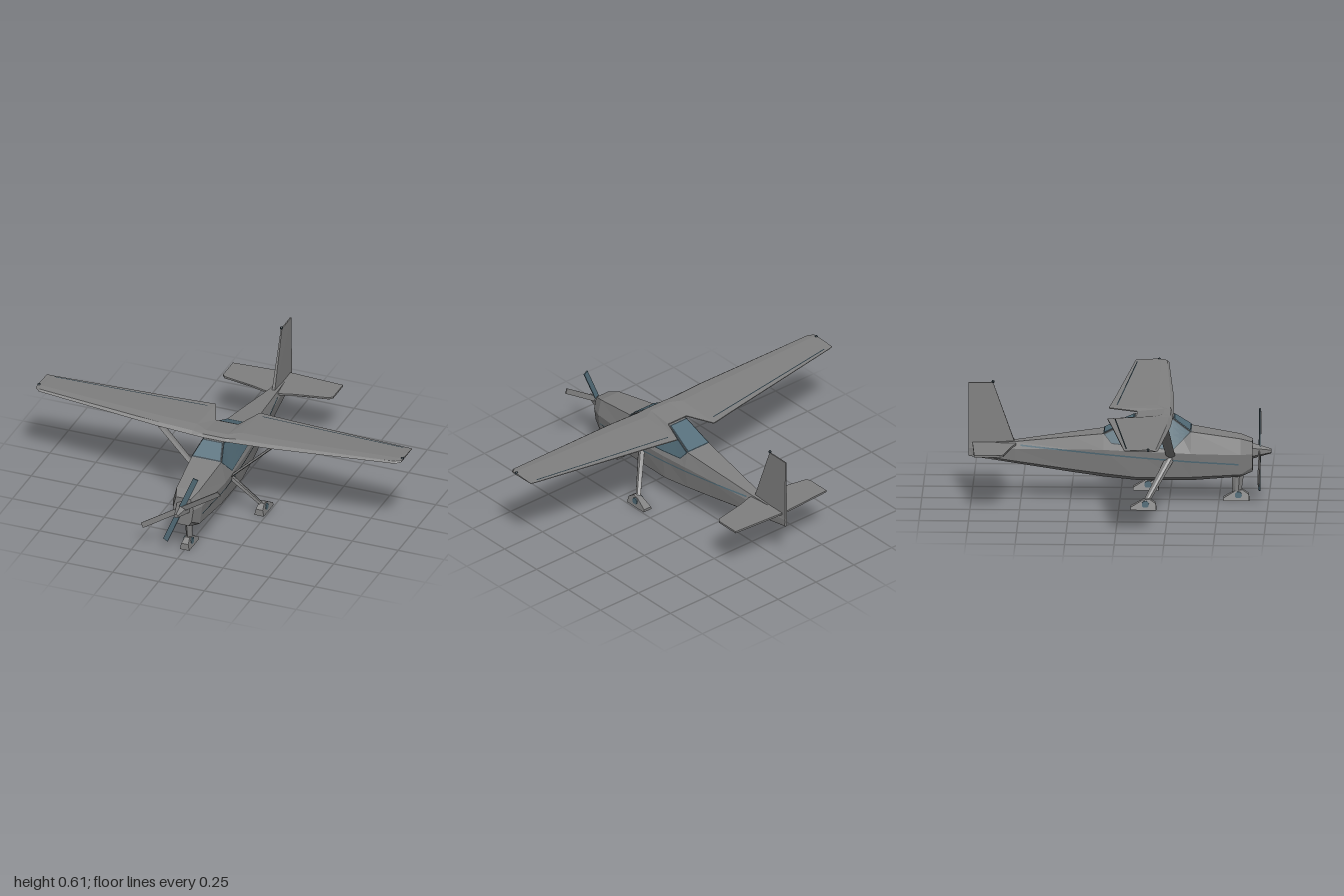
import * as THREE from 'three';

const mat = (name, color) => new THREE.MeshStandardMaterial({ name, color, flatShading: true, side: THREE.DoubleSide });
const paint = mat('grey paint', 0x808080);
const glass = mat('blue grey glass', 0x546e7a);
const trim = mat('dark trim', 0x2b3a42);

// Joins equal-length rings of [x, y, z] points; caps the ends and faces outward.
function loft(rings, closed = true) {
  const n = rings[0].length, tris = [];
  for (let i = 0; i < rings.length - 1; i++) {
    for (let j = 0; j < (closed ? n : n - 1); j++) {
      const k = (j + 1) % n, a = rings[i], b = rings[i + 1];
      tris.push([a[j], b[j], b[k]], [a[j], b[k], a[k]]);
    }
  }
  if (closed) {
    const a = rings[0], b = rings[rings.length - 1];
    for (let j = 1; j < n - 1; j++) tris.push([a[0], a[j], a[j + 1]], [b[0], b[j + 1], b[j]]);
    const v = p => new THREE.Vector3(...p);
    const c = v(a[0]);
    const volume = tris.reduce((s, t) => {
      const [p, q, r] = t.map(u => v(u).sub(c));
      return s + p.dot(q.cross(r));
    }, 0);
    if (volume < 0) tris.forEach(t => t.reverse());
  }
  const g = new THREE.BufferGeometry();
  g.setAttribute('position', new THREE.Float32BufferAttribute(tris.flat(2), 3));
  g.computeVertexNormals();
  return g;
}

// Linear lookup in rows sorted by their first column.
function sample(rows, t) {
  let i = 0;
  while (i < rows.length - 2 && (rows[i + 1][0] - t) * (rows[0][0] - t) > 0) i++;
  const a = rows[i], b = rows[i + 1], f = (t - a[0]) / (b[0] - a[0]);
  return a.map((v, k) => v + (b[k] - v) * f);
}

// Fuselage stations: z, then height and half width of roof, waist, chine and belly.
const hull = [
  [0.67, 0.31, 0.04, 0.25, 0.055, 0.18, 0.045, 0.155, 0.03],
  [0.61, 0.33, 0.06, 0.25, 0.08, 0.145, 0.065, 0.13, 0.04],
  [0.36, 0.37, 0.08, 0.26, 0.105, 0.135, 0.085, 0.112, 0.05],
  [0.27, 0.432, 0.055, 0.265, 0.105, 0.133, 0.085, 0.112, 0.05],
  [0.08, 0.432, 0.055, 0.27, 0.1, 0.133, 0.085, 0.112, 0.05],
  [-0.08, 0.355, 0.07, 0.275, 0.09, 0.148, 0.072, 0.127, 0.045],
  [-0.24, 0.336, 0.055, 0.272, 0.07, 0.165, 0.055, 0.146, 0.03],
  [-0.53, 0.3, 0.025, 0.265, 0.035, 0.2, 0.028, 0.187, 0.015],
  [-0.765, 0.285, 0.006, 0.26, 0.008, 0.23, 0.006, 0.22, 0.004],
];
function hullX(z, y) {
  const h = sample(hull, z);
  return sample([[h[1], h[2]], [h[3], h[4]], [h[5], h[6]], [h[7], h[8]]], y)[1];
}

// Wing stations: x, leading z, trailing z, underside y, thickness.
const wing = [
  [0, 0.268, 0.085, 0.43, 0.026],
  [0.06, 0.268, 0.085, 0.43, 0.026],
  [0.12, 0.268, -0.06, 0.433, 0.026],
  [0.3, 0.265, -0.035, 0.442, 0.024],
  [0.97, 0.22, 0.048, 0.477, 0.016],
  [0.995, 0.2, 0.052, 0.482, 0.01],
];
const foil = [[0, 0.25], [0.06, 0.8], [0.25, 1], [1, 0.45], [1, 0.25], [0.08, 0]];
const wingRing = ([x, le, te, y, t], s) => foil.map(([c, h]) => [s * x, y + h * t, le + (te - le) * c]);
function wingTop(x, z) {
  const [, le, te, y, t] = sample(wing, x);
  const c = (z - le) / (te - le);
  return y + t * (1 - 0.55 * (c - 0.25) / 0.75);
}

export function createModel() {
  const model = new THREE.Group();
  model.name = 'light aircraft';
  const add = (name, geometry, material = paint) => {
    const m = new THREE.Mesh(geometry, material);
    m.name = name;
    model.add(m);
    return m;
  };
  const light = (name, x, y, z) => add(name, new THREE.SphereGeometry(0.008, 8, 6), trim).position.set(x, y, z);

  add('fuselage', loft(hull.map(([z, ...p]) => {
    const half = [0, 2, 4, 6].map(i => [p[i + 1], p[i], z]);
    return [...half, ...half.map(([x, y]) => [-x, y, z]).reverse()];
  })));
  add('wing', loft([...wing.slice(1).reverse().map(w => wingRing(w, -1)), ...wing.map(w => wingRing(w, 1))]));

  // Cabin glazing: a dark frame plate below a slightly smaller pane.
  const sill = [[0.36, 0.368], [0.27, 0.278], [-0.04, 0.305], [-0.08, 0.353]];
  const panes = [['Frame', trim, 0.002, 0], ['Pane', glass, 0.004, 0.006]];
  for (const [label, material, lift, inset] of panes) {
    for (const [name, z0, z1] of [['windscreen', 0.36, 0.27], ['rearWindow', -0.08, 0.08]]) {
      const d = Math.sign(z1 - z0) * inset;
      const row = z => {
        const h = sample(hull, z);
        return [-1, 1].map(s => [s * (h[2] - inset), h[1] + lift, z - Math.sign(d || (z1 - z0)) * lift]);
      };
      add(name + label, loft([row(z0 + d), row(z1 - d)], false), material);
    }
    for (const s of [1, -1]) {
      const stations = [0.36 - inset * 1.5, 0.33, 0.3, 0.27, 0.2, 0.14, 0.08, 0.04, 0, -0.04, -0.08 + inset * 1.5];
      const rows = stations.map(z => {
        const top = sample(hull, z)[1] - inset, low = Math.min(sample(sill, z)[1] + inset, top);
        return [0, 0.25, 0.5, 0.75, 1].map(f => {
          const y = low + (top - low) * f;
          return [s * (hullX(z, y) + lift), y, z];
        });
      });
      add('sideWindow' + label, loft(rows, false), material);
    }
  }

  // Tail surfaces
  const fin = [[-0.53, 0.29], [-0.64, 0.6], [-0.765, 0.6], [-0.765, 0.222]];
  add('tailFin', loft([-1, 1].map(s => fin.map(([z, y], i) => [s * (i === 1 || i === 2 ? 0.003 : 0.008), y, z]))));
  const stab = [[0, -0.525], [0.04, -0.525], [0.15, -0.558], [0.285, -0.58], [0.3, -0.598], [0.3, -0.727], [0, -0.745]];
  for (const s of [1, -1]) {
    add('tailplane', loft([0.282, 0.292].map(y => stab.map(([x, z]) => [s * x, y, z]))));
  }
  light('tailBeacon', 0, 0.605, -0.64);

  // Wheel fairing with wheel
  const fairing = [[0.05, 0], [0.047, 0.033], [0.015, 0.055], [-0.02, 0.05], [-0.08, 0.014], [-0.08, 0]];
  const addWheel = (x, z) => {
    add('wheelFairing', loft([-1, 1].map(s => fairing.map(([dz, y]) => [x + s * (0.026 - y * 0.22), y, z + dz]))));
    const wheel = add('wheel', new THREE.CylinderGeometry(0.018, 0.018, 0.046, 12), glass);
    wheel.rotation.z = Math.PI / 2;
    wheel.position.set(x, 0.029, z - 0.005);
  };
  // Flat strut between two points, each with its own chord along z.
  const strut = (name, a, b, ca, cb, t) => add(name, loft([[a, ca], [b, cb]].map(([[x, y, z], c]) =>
    [[0, 1], [1, 0.3], [1, -0.3], [0, -1], [-1, -0.3], [-1, 0.3]].map(([u, v]) => [x + u * t, y, z + v * c / 2]))));

  addWheel(0, 0.603);
  strut('noseGearLeg', [0, 0.15, 0.595], [0, 0.04, 0.59], 0.065, 0.045, 0.015);

  for (const s of [1, -1]) {
    addWheel(s * 0.217, 0.14);
    strut('mainGearLeg', [s * 0.085, 0.245, 0.262], [s * 0.212, 0.04, 0.14], 0.05, 0.035, 0.012);
    strut('wingStrut', [s * 0.092, 0.24, 0.26], [s * 0.315, 0.446, 0.225], 0.045, 0.055, 0.008);
    light('wingtipLight', s * 0.99, 0.49, 0.17);

    // Aileron line and painted fuselage stripe
    const line = [];
    for (let i = 0; i <= 8; i++) {
      const x = 0.15 + i * 0.1, z = -0.02 + i * 0.01;
      line.push([-0.003, 0.003].map(d => [s * x, wingTop(x, z + d) + 0.002, z + d]));
    }
    add('aileronLine', loft(line, false), trim);
    const stripe = [];
    for (let i = 0; i <= 22; i++) {
      const z = 0.6 - i * 0.05, y = 0.2 + i * 0.0038;
      stripe.push([-0.004, 0.004].map(d => [s * (hullX(z, y + d) + 0.003), y + d, z]));
    }
    add('sideStripe', loft(stripe, false), glass);
  }

  // Spinner and crossed propeller blades
  const spinner = add('spinner', new THREE.CylinderGeometry(0.012, 0.042, 0.1, 6));
  spinner.rotation.x = Math.PI / 2;
  spinner.position.set(0, 0.255, 0.715);
  for (const [angle, length, material] of [[33, 0.5, paint], [67, 0.42, glass]]) {
    for (const s of [1, -1]) {
      const blade = new THREE.BoxGeometry(length / 2, 0.028, 0.006);
      blade.translate(length / 4, 0, 0).rotateX(0.2);
      const m = add('propellerBlade', blade, material);
      m.rotation.z = angle * Math.PI / 180 + (s < 0 ? Math.PI : 0);
      m.position.set(0, 0.262, 0.705);
    }
  }
  return model;
}
